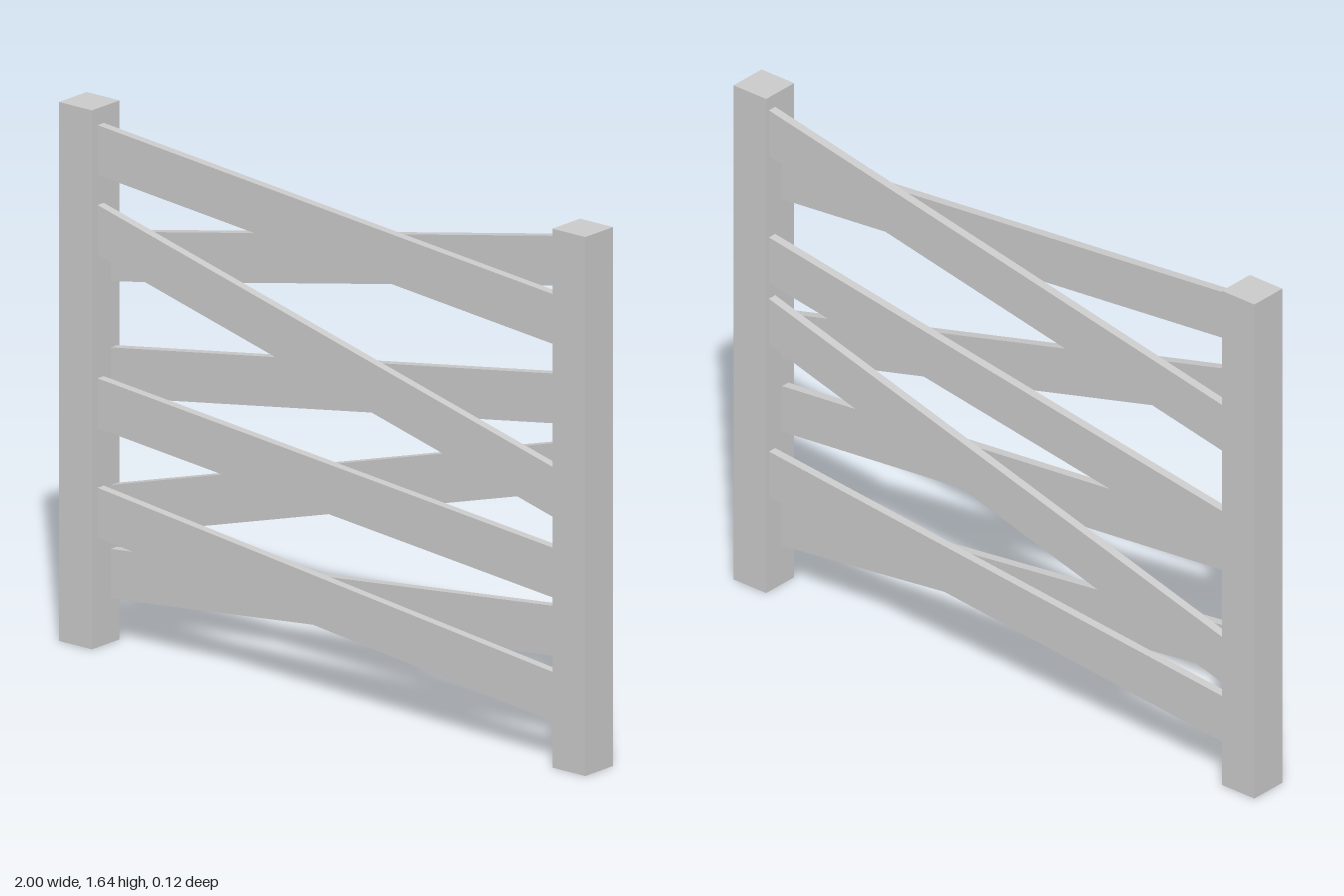
import * as THREE from 'three';

const POST = 0.125, HEIGHT = 1.645, SPAN = 1.75;
const SLAT_H = 0.152, SLAT_T = 0.028;

// Centre heights of each slat: [at x = -0.875, at x = +0.875]
const FRONT_SLATS = [[1.518, 1.357], [1.274, 0.826], [0.745, 0.583], [0.411, 0.203]];
const BACK_SLATS = [[1.178, 1.526], [0.825, 1.103], [0.405, 0.899], [0.21, 0.39]];

export function createModel() {
  const group = new THREE.Group();
  group.name = 'fencePanel';
  const material = new THREE.MeshStandardMaterial({
    color: 0xcccccc, flatShading: true, side: THREE.DoubleSide,
  });

  // Square hollow post, open at the foot
  const postGeometry = new THREE.BoxGeometry(POST, HEIGHT, POST);
  const faces = Array.from(postGeometry.index.array);
  faces.splice(18, 6);
  postGeometry.setIndex(faces);
  postGeometry.clearGroups();
  for (const side of [-1, 1]) {
    const post = new THREE.Mesh(postGeometry, material);
    post.name = side > 0 ? 'leftPost' : 'rightPost';
    post.position.set(side * (1 - POST / 2), HEIGHT / 2, 0);
    group.add(post);
  }

  // Slanted slat: a box sheared in y so its ends stay flush with the posts
  function addSlat(name, [y0, y1], z) {
    const geometry = new THREE.BoxGeometry(SPAN, SLAT_H, SLAT_T);
    const pos = geometry.attributes.position;
    for (let i = 0; i < pos.count; i++) {
      pos.setY(i, pos.getY(i) + (pos.getX(i) / SPAN) * (y1 - y0));
    }
    geometry.computeVertexNormals();
    const slat = new THREE.Mesh(geometry, material);
    slat.name = name;
    slat.position.set(0, (y0 + y1) / 2, z);
    group.add(slat);
  }
  FRONT_SLATS.forEach((ends, i) => addSlat(`frontSlat${i + 1}`, ends, 0.023));
  BACK_SLATS.forEach((ends, i) => addSlat(`backSlat${i + 1}`, ends, -0.036));

  return group;
}
